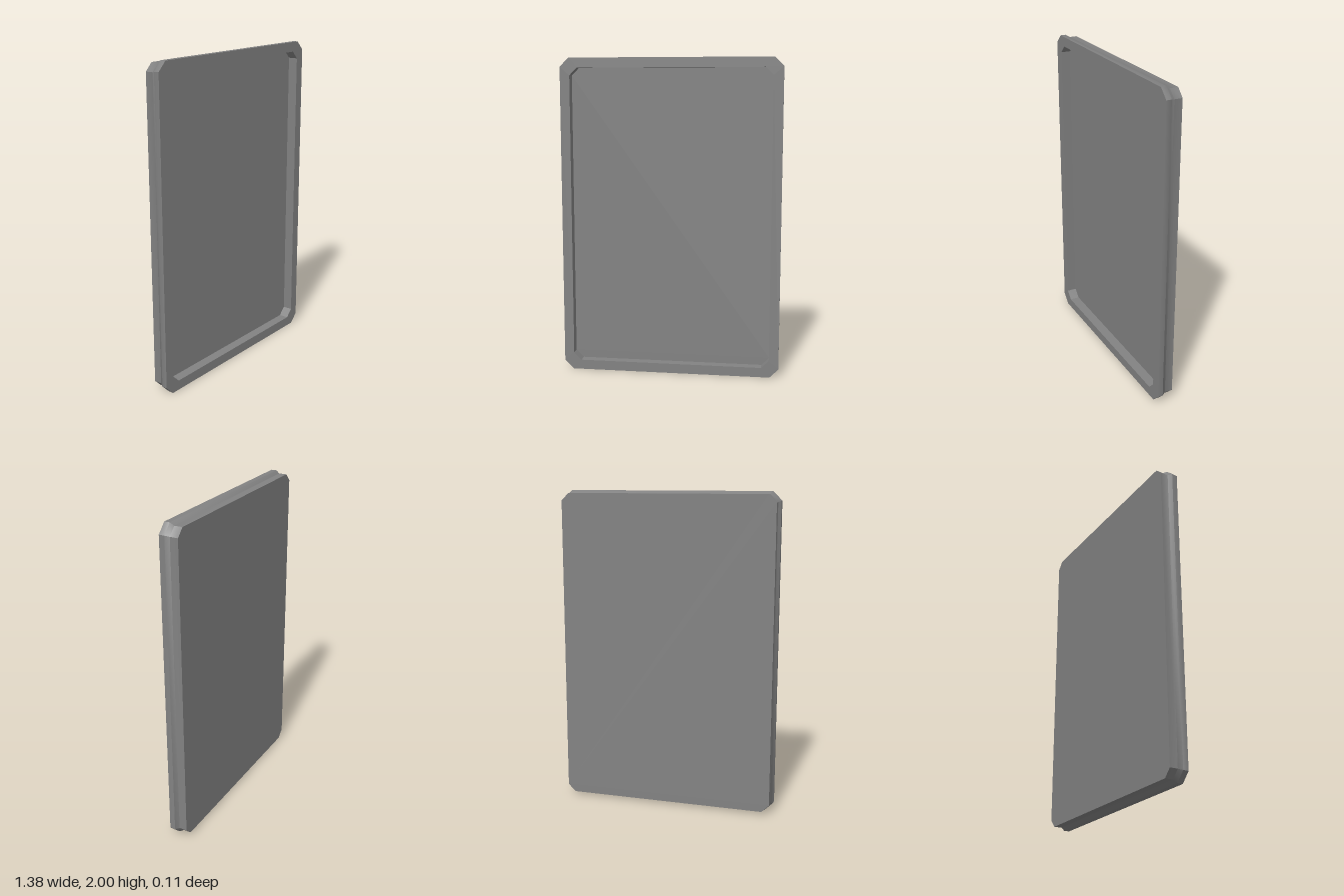
import * as THREE from 'three';
import { toCreasedNormals } from 'three/addons/utils/BufferGeometryUtils.js';

// Rectangle with cut corners, counter-clockwise seen from +z
function ring([w, h, c, z]) {
  return [
    [w, -h + c], [w, h - c], [w - c, h], [-w + c, h],
    [-w, h - c], [-w, -h + c], [-w + c, -h], [w - c, -h],
  ].map(([x, y]) => [x, y + 1, z]);
}

// Skin a row of rings and close both ends with flat caps
function loft(sections) {
  const rings = sections.map(ring);
  const n = rings[0].length;
  const positions = [];
  const tri = (a, b, c) => positions.push(...a, ...b, ...c);
  for (let i = 0; i < rings.length - 1; i++) {
    for (let j = 0; j < n; j++) {
      const k = (j + 1) % n;
      tri(rings[i][j], rings[i][k], rings[i + 1][k]);
      tri(rings[i][j], rings[i + 1][k], rings[i + 1][j]);
    }
  }
  const first = rings[0], last = rings[rings.length - 1];
  for (let j = 1; j < n - 1; j++) {
    tri(first[0], first[j + 1], first[j]);
    tri(last[0], last[j], last[j + 1]);
  }
  const geometry = new THREE.BufferGeometry();
  geometry.setAttribute('position', new THREE.Float32BufferAttribute(positions, 3));
  return toCreasedNormals(geometry, 0.7);
}

export function createModel() {
  const group = new THREE.Group();
  group.name = 'framedPanel';

  // Half width, half height, corner cut, z: from the back, around the rim, into the recess
  const panel = new THREE.Mesh(
    loft([
      [0.677, 0.984, 0.047, -0.054], // back face
      [0.677, 0.984, 0.047, -0.004], // rear step
      [0.692, 1.0, 0.056, 0.02],     // sloped shoulder
      [0.692, 1.0, 0.056, 0.054],    // front rim, outer edge
      [0.631, 0.939, 0.048, 0.054],  // front rim, inner edge
      [0.631, 0.939, 0.048, -0.008], // recessed floor
    ]),
    new THREE.MeshStandardMaterial({ color: 0x828282 })
  );
  panel.name = 'panelWithRaisedRim';
  group.add(panel);

  return group;
}
